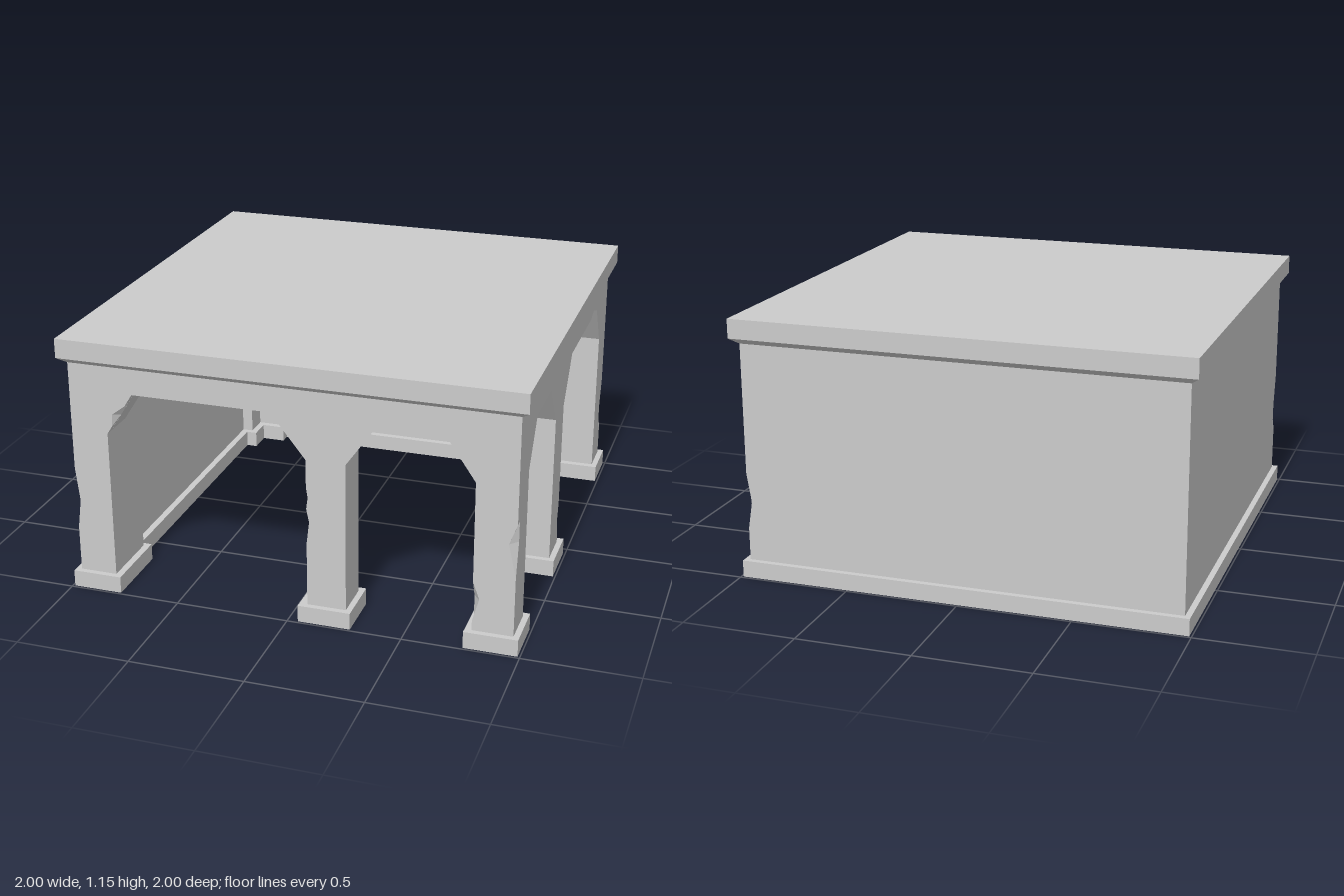
import * as THREE from 'three';

const material = new THREE.MeshStandardMaterial({ color: 0xcccccc, flatShading: true, side: THREE.DoubleSide });
const OUT = 0.965, TOP = 1.07, CHIP = 0.035;

function add(group, name, geometry) {
  const mesh = new THREE.Mesh(geometry, material);
  mesh.name = name;
  group.add(mesh);
  return mesh;
}

// Extrudes an outline between two depths. Outline entries are [x, y], or
// [x, y, plainX, plainY] for the broken tip of a chip and its unbroken place.
function slab(outline, z0, z1, chipped) {
  const points = outline.map(([x, y, px = x, py = y]) =>
    chipped ? new THREE.Vector2(x, y) : new THREE.Vector2(px, py));
  const geo = new THREE.ExtrudeGeometry(new THREE.Shape(points), { depth: z1 - z0, bevelEnabled: false });
  if (chipped) {
    // the chip only bites the outer edge: close it again at the rear of the layer
    const pos = geo.attributes.position;
    for (const [x, y, px, py] of outline.filter((p) => p.length === 4)) {
      for (let i = 0; i < pos.count; i++) {
        if (pos.getZ(i) < 1e-4 && Math.hypot(pos.getX(i) - x, pos.getY(i) - y) < 1e-4) pos.setXY(i, px, py);
      }
    }
    geo.computeVertexNormals();
  }
  return geo.translate(0, 0, z0);
}

// A wall facing local +z, turned to its side of the building
function wall(name, turn, outline, inner, recessed) {
  const group = new THREE.Group();
  group.name = name;
  add(group, name + 'Face', slab(outline, OUT - CHIP, OUT, true));
  add(group, name + 'Core', slab(outline, recessed ? 0.85 : inner, OUT - CHIP, false));
  if (recessed) {
    // inner skin with a rectangular recess, open at the bottom
    const xs = outline.map((p) => p[2] ?? p[0]);
    const a = Math.min(...xs), b = Math.max(...xs);
    const [r0, r1] = recessed;
    add(group, name + 'RecessFrame', slab(
      [[a, 0], [r0, 0], [r0, 0.69], [r1, 0.69], [r1, 0], [b, 0], [b, TOP], [a, TOP]], inner, 0.85, false));
  }
  group.rotation.y = turn;
  return group;
}

export function createModel() {
  const model = new THREE.Group();
  model.name = 'arcadeBuilding';

  // Front wall: wide arch, middle pier, narrow arch
  model.add(wall('frontWall', 0, [
    [-OUT, TOP], [-OUT, 0.56], [-0.948, 0.41, -OUT, 0.41], [-OUT, 0.28], [-OUT, 0],
    [-0.8, 0], [-0.8, 0.74],
    [-0.777, 0.777], [-0.775, 0.83, -0.749, 0.82], [-0.715, 0.875],
    [-0.68, 0.93], [-0.07, 0.93], [0.08, 0.74],
    [0.08, 0.62], [0.087, 0.57, 0.08, 0.57], [0.08, 0.52], [0.092, 0.46, 0.08, 0.46], [0.08, 0.36],
    [0.08, 0], [0.25, 0], [0.25, 0.74], [0.385, 0.93], [0.66, 0.93], [0.79, 0.74],
    [0.79, 0.3], [0.818, 0.22, 0.79, 0.22], [0.79, 0.12], [0.79, 0],
    [OUT, 0], [OUT, 0.34], [0.932, 0.49, OUT, 0.49], [OUT, 0.58], [OUT, TOP],
  ], 0.79));

  // Right-hand arcade, fitted between the front and back walls
  model.add(wall('sideArcade', Math.PI / 2, [
    [-0.79, TOP], [-0.79, 0.74], [-0.66, 0.93], [-0.385, 0.93], [-0.25, 0.74], [-0.25, 0],
    [-0.08, 0], [-0.08, 0.12], [-0.1, 0.19, -0.08, 0.19], [-0.08, 0.27], [-0.08, 0.74],
    [0.07, 0.93], [0.53, 0.93], [0.6, 0.953, 0.6, 0.93], [0.67, 0.93], [0.68, 0.93],
    [0.8, 0.74], [0.8, TOP],
  ], 0.79));

  // Solid back and side walls with recessed inner panels
  model.add(wall('backWall', Math.PI, [
    [-OUT, TOP], [-OUT, 0.47], [-0.945, 0.34, -OUT, 0.34], [-OUT, 0.22], [-OUT, 0], [OUT, 0], [OUT, TOP],
  ], 0.8, [-0.68, 0.685]));
  model.add(wall('solidSideWall', -Math.PI / 2,
    [[-0.8, 0], [0.79, 0], [0.79, TOP], [-0.8, TOP]], 0.8, [-0.685, 0.68]));

  // Plinth following the solid walls, stepping back at the recesses
  const plinth = [
    [-0.99, 0.99], [-0.77, 0.99], [-0.77, 0.66], [-0.82, 0.66], [-0.82, -0.66], [-0.77, -0.66],
    [-0.77, -0.77], [-0.66, -0.77], [-0.66, -0.82], [0.66, -0.82], [0.66, -0.77], [0.99, -0.77],
    [0.99, -0.99], [-0.99, -0.99],
  ];
  add(model, 'wallPlinth', slab(plinth, 0, 0.075, false).rotateX(Math.PI / 2).translate(0, 0.075, 0));

  // Square footings below the free-standing piers
  for (const [x, z] of [[0.16, 0.875], [0.875, 0.875], [0.875, 0.16]]) {
    add(model, 'pierFooting', new THREE.BoxGeometry(0.23, 0.075, 0.23)).position.set(x, 0.0375, z);
  }

  // Roof slab with a sloped cornice strip beneath
  add(model, 'roofSlab', new THREE.BoxGeometry(2, 0.085, 2)).position.y = 1.1125;
  add(model, 'cornice', new THREE.CylinderGeometry(Math.SQRT2, OUT * Math.SQRT2, 0.027, 4, 1, true)
    .rotateY(Math.PI / 4)).position.y = 1.0565;

  return model;
}
